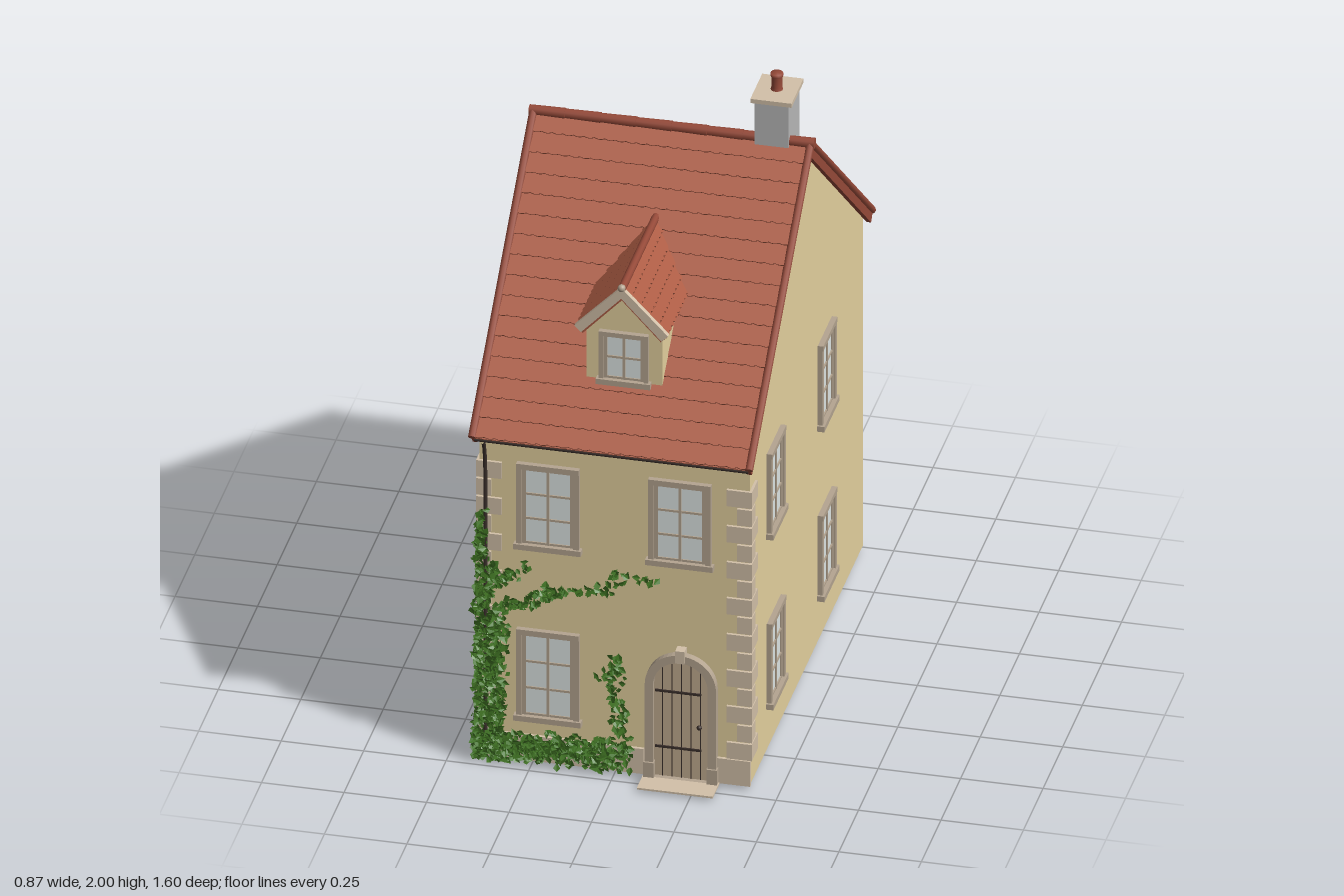
import * as THREE from 'three';

const mat = (name, color, extra = {}) => Object.assign(new THREE.MeshStandardMaterial({ color, ...extra }), { name });
const M = {
  wall: mat('plaster', 0xe5d29f),
  tile: mat('roof tile', 0xad5d45),
  ridge: mat('ridge tile', 0x964a39),
  stone: mat('pale stone', 0xd3c1a9),
  frame: mat('frame stone', 0xb5a591),
  glass: mat('glass', 0xdfe7e5),
  door: mat('door wood', 0xc2ac91),
  metal: mat('dark metal', 0x3a2f2b),
  brick: mat('chimney grey', 0xb8b8b8),
  leaf: mat('ivy green', 0x447a26, { side: THREE.DoubleSide }),
};

function add(parent, name, geo, material, x = 0, y = 0, z = 0) {
  const m = new THREE.Mesh(geo, material);
  m.name = name;
  m.position.set(x, y, z);
  parent.add(m);
  return m;
}
const box = (w, h, d) => new THREE.BoxGeometry(w, h, d);
const poly = (pts) => new THREE.Shape(pts.map(([x, y]) => new THREE.Vector2(x, y)));
const extrude = (shape, depth) => new THREE.ExtrudeGeometry(shape, { depth, bevelEnabled: false, curveSegments: 12 });
function group(parent, name, x = 0, y = 0, z = 0, ry = 0) {
  const g = new THREE.Group();
  g.name = name;
  g.position.set(x, y, z);
  g.rotation.y = ry;
  parent.add(g);
  return g;
}

// Window facing +z, origin at the bottom centre of its sill
function addWindow(parent, name, x, y, z, ry, w, h, rows) {
  const g = group(parent, name, x, y, z, ry);
  const b = w * 0.09, s = 0.018, ih = h - s - b, iw = w - 2 * b;
  add(g, 'sill', box(w + 0.015, s, 0.022), M.frame, 0, s / 2, 0.011);
  for (const k of [-1, 1]) add(g, 'jamb', box(b, h - s, 0.015), M.frame, k * (w - b) / 2, (h + s) / 2, 0.0075);
  add(g, 'lintel', box(w, b, 0.017), M.frame, 0, h - b / 2, 0.0085);
  add(g, 'glass', box(iw, ih, 0.004), M.glass, 0, s + ih / 2, 0.002);
  for (const k of [-1, 0, 1]) add(g, 'sashBar', box(k ? 0.011 : 0.008, ih, 0.009), M.frame, k * (iw / 2 - 0.0055), s + ih / 2, 0.0045);
  for (let i = 0; i <= rows; i++) add(g, 'glazingBar', box(iw, 0.007, 0.008), M.frame, 0, s + 0.0035 + (ih - 0.007) * i / rows, 0.004);
}

// Tiled roof slope: overlapping scalloped courses running down from the ridge
function addSlope(parent, name, w, len, rows, cols, scallop, pitch, yaw, pos) {
  const g = group(parent, name, ...pos);
  g.rotation.set(pitch - Math.PI / 2, yaw, 0, 'YXZ');
  add(g, 'roofDeck', box(w, len, 0.025), M.tile, 0, -len / 2, -0.0125);
  const h = len / rows, cw = w / cols;
  const s = new THREE.Shape();
  s.moveTo(-w / 2, 0);
  for (let i = 0; i < cols; i++) {
    const x = -w / 2 + i * cw;
    s.lineTo(x, -h + scallop);
    s.quadraticCurveTo(x + cw / 2, -h - scallop, x + cw, -h + scallop);
  }
  s.lineTo(w / 2, 0);
  const geo = new THREE.ExtrudeGeometry(s, { depth: 0.005, bevelEnabled: false, curveSegments: 4 });
  for (let i = 0; i < rows; i++) add(g, 'tileCourse', geo, M.tile, 0, -i * h, -0.002).rotation.x = -Math.asin(0.005 / h);
  return g;
}

function addWalls(house) {
  const z0 = -0.735, z1 = 0.705, y0 = 0.015, eave = 1.15, t = 0.04;
  const gable = extrude(poly([[z0, y0], [z1, y0], [z1, eave], [-0.01, 1.768], [z0, eave]]), t).rotateY(-Math.PI / 2);
  add(house, 'rightGableWall', gable, M.wall, 0.41);
  add(house, 'leftGableWall', gable, M.wall, t - 0.41);
  for (const [n, z] of [['frontWall', z1 - t / 2], ['backWall', z0 + t / 2]]) add(house, n, box(0.8, eave - y0, t), M.wall, 0, (eave + y0) / 2, z);
  // Plinth either side of the door
  add(house, 'plinth', box(0.5, 0.085, 0.012), M.stone, -0.16, 0.0575, 0.709);
  add(house, 'plinth', box(0.11, 0.085, 0.012), M.stone, 0.358, 0.0575, 0.709);
  add(house, 'doorStep', box(0.23, 0.006, 0.1), M.stone, 0.205, 0.014, 0.75);
  // Corner stones, alternately long and short, one leg on each wall
  for (const k of [-1, 1]) for (let i = 0; i < 15; i++) {
    const l = i % 2 ? 0.045 : 0.077, y = 0.13 + i * 0.0615;
    add(house, 'cornerStone', box(l, 0.055, 0.016), M.stone, k * (0.418 - l / 2), y, 0.706);
    add(house, 'cornerStone', box(0.016, 0.055, l), M.stone, k * 0.41, y, 0.714 - l / 2);
  }
}

function addOpenings(house) {
  for (const [n, x, y, h] of [['frontUpperWindow', -0.2, 0.737, 0.29], ['frontUpperWindow', 0.2, 0.737, 0.29], ['frontLowerWindow', -0.2, 0.152, 0.31]]) {
    addWindow(house, n, x, y, 0.705, 0, 0.19, h, 3);
    add(house, 'windowRecess', box(0.3, 0.32, 0.24), M.stone, x, y + 0.15, 0.55);
  }
  add(house, 'doorRecess', box(0.3, 0.44, 0.24), M.stone, 0.2, 0.245, 0.55);
  for (const k of [-1, 1]) for (const z of [0.4, -0.25]) for (const y of [0.155, 0.735]) {
    addWindow(house, 'sideWindow', k * 0.41, y, z, k * Math.PI / 2, 0.18, 0.288, 3);
    add(house, 'windowRecess', box(0.25, 0.32, 0.3), M.stone, k * 0.25, y + 0.15, z);
  }
}

function addDoor(house) {
  const g = group(house, 'door', 0.205, 0.018, 0.705);
  const arch = (r, spring) => {
    const s = new THREE.Shape();
    s.moveTo(-r, 0);
    s.lineTo(r, 0);
    s.lineTo(r, spring);
    s.absarc(0, spring, r, 0, Math.PI, false);
    s.lineTo(-r, 0);
    return s;
  };
  const outer = arch(0.108, 0.315);
  outer.holes.push(arch(0.083, 0.315));
  add(g, 'doorSurround', extrude(outer, 0.024), M.frame);
  add(g, 'doorLeaf', extrude(arch(0.084, 0.315), 0.008), M.door);
  for (let i = -2; i <= 2; i++) {
    const x = i * 0.029, h = 0.315 + Math.sqrt(0.083 ** 2 - x * x);
    add(g, 'plankGap', box(0.003, h, 0.002), M.metal, x, h / 2, 0.0085);
  }
  for (const y of [0.1, 0.29]) add(g, 'strapHinge', box(0.14, 0.007, 0.005), M.metal, -0.01, y, 0.01);
  add(g, 'doorKnob', new THREE.SphereGeometry(0.008, 10, 8), M.metal, 0.055, 0.18, 0.014);
  add(g, 'keystone', box(0.028, 0.042, 0.032), M.stone, 0, 0.422, 0.016);
  for (const k of [-1, 1]) add(g, 'surroundFoot', box(0.032, 0.05, 0.03), M.frame, k * 0.096, 0.025, 0.015);
}

function addRoof(house) {
  const pitch = Math.atan2(0.67, 0.78), len = 1.03, roof = group(house, 'roof', 0.004);
  for (const [n, yaw] of [['frontRoof', 0], ['backRoof', Math.PI]]) {
    const g = addSlope(roof, n, 0.83, len, 16, 26, 0.004, pitch, yaw, [0, 1.798, -0.01]);
    for (const k of [-1, 1]) {
      add(g, 'vergeBoard', box(0.014, len, 0.036), M.ridge, k * 0.416, -len / 2, -0.016);
      add(g, 'vergeTile', new THREE.CylinderGeometry(0.012, 0.012, len, 8), M.ridge, k * 0.42, -len / 2, 0.004);
    }
  }
  for (let i = 0; i < 8; i++) add(roof, 'ridgeTile', new THREE.CylinderGeometry(0.015, 0.017, 0.109, 10).rotateZ(Math.PI / 2), M.ridge, -0.378 + i * 0.108, 1.803, -0.012);
  // Gutter and downpipe
  add(roof, 'gutter', new THREE.CylinderGeometry(0.007, 0.007, 0.83, 10).rotateZ(Math.PI / 2), M.metal, 0, 1.119, 0.762);
  const path = new THREE.CatmullRomCurve3([[1.11, 0.76], [1.1, 0.745], [1.06, 0.73], [1, 0.722], [0.5, 0.72], [0.03, 0.72]].map(([y, z]) => new THREE.Vector3(-0.388, y, z)));
  add(house, 'downpipe', new THREE.TubeGeometry(path, 40, 0.006, 8), M.metal);
}

function addChimney(house) {
  const g = group(house, 'chimney', 0.31, 0, -0.06);
  add(g, 'chimneyStack', box(0.104, 0.25, 0.138), M.brick, 0, 1.81, 0);
  add(g, 'chimneyCap', box(0.125, 0.014, 0.152), M.stone, 0, 1.938, 0);
  const pot = [[0.019, 0], [0.016, 0.01], [0.016, 0.042], [0.019, 0.046], [0.019, 0.056], [0, 0.056]].map(([r, y]) => new THREE.Vector2(r, y));
  add(g, 'chimneyPot', new THREE.LatheGeometry(pot, 14), M.ridge, 0, 1.944, 0);
}

function addDormer(house) {
  const g = group(house, 'dormer', 0.005, 0, 0);
  add(g, 'dormerWalls', extrude(poly([[-0.115, 1.25], [0.115, 1.25], [0.115, 1.475], [0, 1.59], [-0.115, 1.475]]), 0.4), M.wall, 0, 0, 0.2);
  for (const k of [-1, 1]) addSlope(g, 'dormerRoof', 0.44, 0.2, 5, 16, 0.007, Math.atan2(0.15, 0.14), k * Math.PI / 2, [0, 1.612, 0.415]);
  add(g, 'dormerRidge', new THREE.CylinderGeometry(0.012, 0.012, 0.44, 10).rotateX(Math.PI / 2), M.ridge, 0, 1.614, 0.415);
  add(g, 'bargeBoards', extrude(poly([[-0.142, 1.475], [-0.122, 1.455], [0, 1.585], [0.122, 1.455], [0.142, 1.475], [0, 1.622]]), 0.016), M.stone, 0, 0, 0.626);
  add(g, 'finial', new THREE.SphereGeometry(0.012, 12, 8), M.frame, 0, 1.618, 0.636);
  addWindow(g, 'dormerWindow', 0, 1.272, 0.6, 0, 0.15, 0.178, 2);
}

// Ivy: leaves scattered along strands [u0, y0, u1, y1, spread, count, onSide]
function addIvy(house) {
  let seed = 7;
  const rnd = () => (seed = (seed * 16807) % 2147483647) / 2147483647;
  const strands = [
    [-0.41, 0.02, -0.4, 0.86, 0.02, 260], [-0.37, 0.02, -0.365, 0.5, 0.05, 560],
    [-0.4, 0.065, 0.035, 0.07, 0.06, 620], [0.03, 0.1, 0, 0.4, 0.035, 75], [-0.05, 0.34, 0.02, 0.36, 0.02, 14],
    [-0.34, 0.53, -0.18, 0.6, 0.03, 75], [-0.18, 0.6, 0.02, 0.65, 0.02, 32], [0, 0.7, 0.12, 0.68, 0.015, 14],
    [-0.02, 0.64, 0.02, 0.71, 0.01, 8], [-0.35, 0.62, -0.27, 0.68, 0.025, 36], [-0.41, 0.5, -0.36, 0.68, 0.025, 80],
    [0.64, 0.08, 0.6, 0.78, 0.085, 850, true],
  ];
  const pos = [], v = new THREE.Vector3(), c = new THREE.Vector3(), e = new THREE.Euler();
  for (const [u0, y0, u1, y1, spread, count, side] of strands) for (let i = 0; i < count; i++) {
    const t = rnd();
    const u = u0 + (u1 - u0) * t + (rnd() - rnd()) * spread;
    const y = Math.max(0.014, y0 + (y1 - y0) * t + (rnd() - rnd()) * spread);
    if (side) c.set(-0.414 - rnd() * 0.014, y, Math.min(u, 0.72));
    else c.set(Math.max(u, -0.425), y, 0.717 + rnd() * 0.018);
    e.set((rnd() - 0.6) * 1.1, (rnd() - 0.5) * 1.2 - (side ? Math.PI / 2 : 0), rnd() * 6.28, 'YXZ');
    const s = 0.009 + rnd() * 0.007;
    // Kite-shaped leaf folded along its middle
    for (const [x, yy, z] of [[0, -1, 0], [0.75, 0.2, 0.2], [0, 1, 0], [0, -1, 0], [0, 1, 0], [-0.75, 0.2, 0.2]]) {
      v.set(x * s, yy * s, z * s).applyEuler(e).add(c);
      pos.push(v.x, Math.max(v.y, 0), v.z);
    }
  }
  const geo = new THREE.BufferGeometry();
  geo.setAttribute('position', new THREE.Float32BufferAttribute(pos, 3));
  geo.computeVertexNormals();
  add(house, 'ivyLeaves', geo, M.leaf);
}

export function createModel() {
  const house = new THREE.Group();
  house.name = 'house';
  for (const build of [addWalls, addOpenings, addDoor, addRoof, addChimney, addDormer, addIvy]) build(house);
  return house;
}
